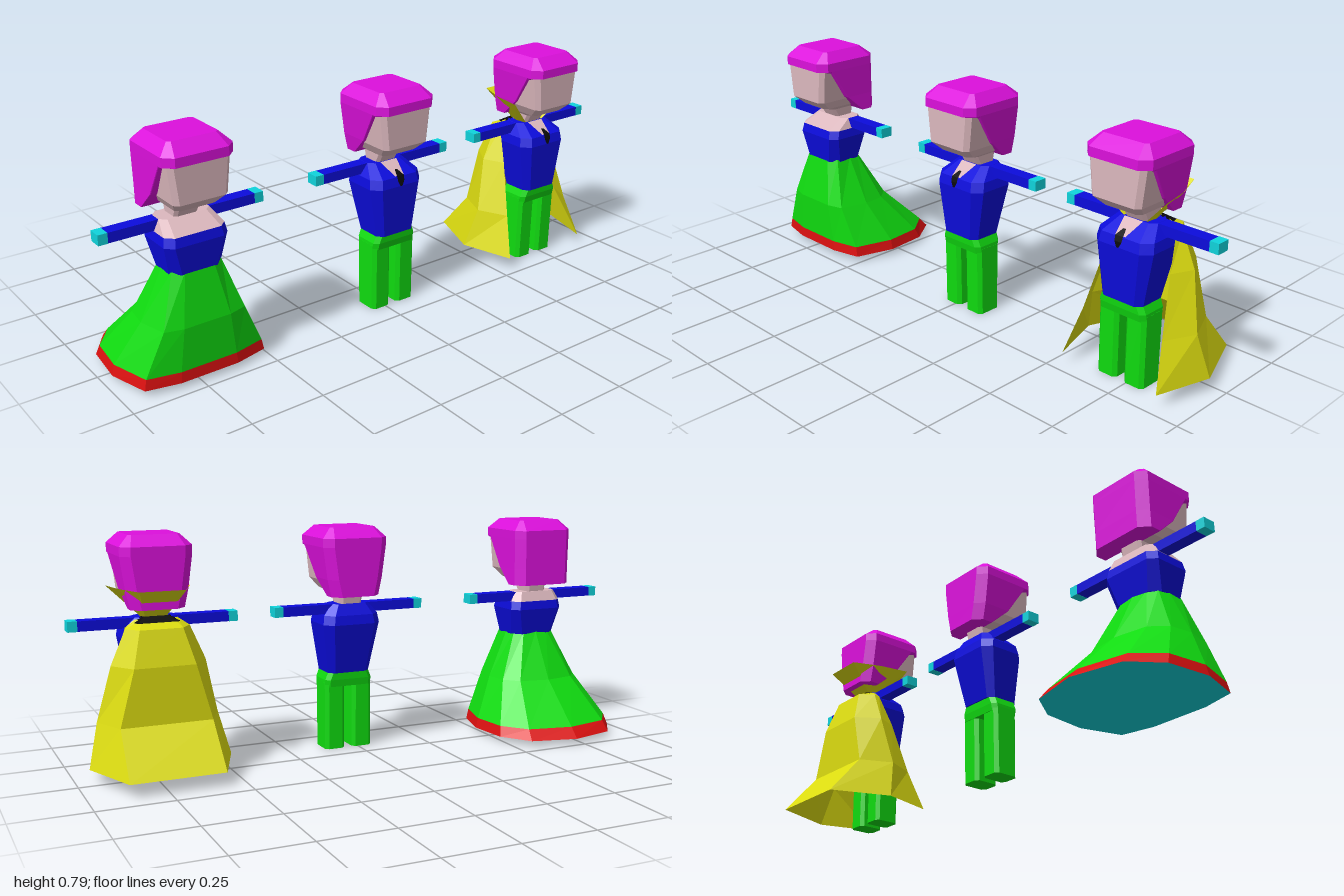
import * as THREE from 'three';

const mat = (name, color, side = THREE.FrontSide) => {
  const m = new THREE.MeshStandardMaterial({ color, flatShading: true, side });
  m.name = name;
  return m;
};

// Mirror a half outline [x, z] (front to back) into a full ring at height y
function mirrorRing(y, half) {
  const right = half.map(([x, z]) => [x, y, z]);
  const left = half.filter(([x]) => x > 0).reverse().map(([x, z]) => [-x, y, z]);
  return right.concat(left);
}

// Rectangular ring with cut corners (front cut cf, back cut cb)
const boxRing = (y, w, zf, zb, cf = 0.02, cb = cf) =>
  mirrorRing(y, [[w - cf, zf], [w, zf - cf], [w, zb + cb], [w - cb, zb]]);

// Skin between rings from bottom to top; closed lofts may have caps
function loft(rings, { closed = true, bottom = true, top = true } = {}) {
  const pos = [];
  const tri = (a, b, c) => pos.push(...a, ...b, ...c);
  const n = rings[0].length;
  for (let i = 0; i < rings.length - 1; i++) {
    for (let j = 0; j < (closed ? n : n - 1); j++) {
      const k = (j + 1) % n;
      tri(rings[i][j], rings[i][k], rings[i + 1][k]);
      tri(rings[i][j], rings[i + 1][k], rings[i + 1][j]);
    }
  }
  if (closed) {
    const lo = rings[0], hi = rings[rings.length - 1];
    for (let j = 1; j < n - 1; j++) {
      if (bottom) tri(lo[0], lo[j + 1], lo[j]);
      if (top) tri(hi[0], hi[j], hi[j + 1]);
    }
  }
  const g = new THREE.BufferGeometry();
  g.setAttribute('position', new THREE.Float32BufferAttribute(pos, 3));
  g.computeVertexNormals();
  return g;
}

export function createModel() {
  const M = {
    hair: mat('magenta hair', 0xdc10dc),
    skin: mat('skin', 0xdcb8be),
    blue: mat('blue cloth', 0x0c0cdc),
    green: mat('green cloth', 0x10dc10),
    red: mat('red trim', 0xdc1010),
    cyan: mat('cyan', 0x10d4dc),
    yellow: mat('yellow cape', 0xdcdc10, THREE.DoubleSide),
    black: mat('black', 0x0a0a0a, THREE.DoubleSide),
    shirt: mat('shirt skin', 0xdcb8be, THREE.DoubleSide),
  };
  const add = (parent, name, geometry, material, x = 0, y = 0, z = 0) => {
    const mesh = new THREE.Mesh(geometry, material);
    mesh.name = name;
    mesh.position.set(x, y, z);
    parent.add(mesh);
  };

  // Head, hair, arms and hands shared by all figures
  function figure(name, x, hairBottom) {
    const g = new THREE.Group();
    g.name = name;
    g.position.x = x;
    add(g, 'head', loft([
      boxRing(0.515, 0.04, 0.12, 0.05, 0.01),
      boxRing(0.55, 0.042, 0.14, 0.045, 0.01),
      boxRing(0.568, 0.07, 0.195, 0.03, 0.015),
      boxRing(0.6, 0.09, 0.23, 0.02, 0.015),
      boxRing(0.73, 0.104, 0.23, 0.02, 0.015),
    ]), M.skin);
    add(g, 'hairCap', loft([
      boxRing(0.71, 0.112, 0.2, 0, 0.02, 0.03),
      boxRing(0.72, 0.117, 0.24, -0.01, 0.03),
      boxRing(0.75, 0.117, 0.24, -0.01, 0.03),
      boxRing(0.785, 0.083, 0.195, 0.033, 0.01),
    ]), M.hair);
    add(g, 'backHair', loft([
      boxRing(0.55, hairBottom, 0.06, -0.01, 0.002, 0.03),
      boxRing(0.61, (hairBottom + 0.115) / 2, 0.125, -0.01, 0.002, 0.03),
      boxRing(0.72, 0.117, 0.195, -0.01, 0.002, 0.03),
    ]), M.hair);
    for (const s of [-1, 1]) {
      add(g, 'arm', new THREE.BoxGeometry(0.19, 0.033, 0.045), M.blue, s * 0.152, 0.503, 0.083);
      add(g, 'hand', new THREE.BoxGeometry(0.031, 0.034, 0.046), M.cyan, s * 0.2625, 0.503, 0.083);
    }
    return g;
  }

  // Figure in a gown
  function gownFigure(x) {
    const g = figure('gownFigure', x, 0.115);
    const hem = [[0.1, 0.215], [0.21, 0.19], [0.25, 0.05], [0.235, -0.1], [0.165, -0.2], [0, -0.24]];
    const hemTop = mirrorRing(0.056, hem.map(([a, z]) => [a * 0.965, z * (z < 0 ? 0.85 : 0.99)]));
    const hemLow = mirrorRing(0.02, hem);
    add(g, 'skirt', loft([
      hemTop,
      mirrorRing(0.2, [[0.08, 0.217], [0.14, 0.2], [0.165, 0.1], [0.155, 0.02], [0.11, -0.03], [0, -0.05]]),
      mirrorRing(0.368, [[0.05, 0.185], [0.085, 0.165], [0.088, 0.11], [0.08, 0.07], [0.05, 0.05], [0, 0.045]]),
    ], { bottom: false }), M.green);
    add(g, 'hemBand', loft([hemLow, hemTop], { bottom: false, top: false }), M.red);
    add(g, 'skirtUnderside', loft([hemLow, hemLow], { top: false }), M.cyan);
    const neckline = boxRing(0.485, 0.102, 0.19, 0.03, 0.025);
    add(g, 'bodice', loft([
      boxRing(0.36, 0.089, 0.186, 0.045, 0.03),
      boxRing(0.455, 0.107, 0.197, 0.025, 0.025),
      neckline,
    ], { top: false }), M.blue);
    add(g, 'shoulders', loft([neckline, boxRing(0.52, 0.085, 0.125, 0.045, 0.02)], { bottom: false }), M.skin);
    return g;
  }

  // Figure in a jacket and trousers
  function suitFigure(name, x) {
    const g = figure(name, x, 0.088);
    add(g, 'jacket', loft([
      boxRing(0.275, 0.077, 0.185, 0.06, 0.02),
      boxRing(0.45, 0.105, 0.197, 0.02, 0.03),
      boxRing(0.482, 0.1, 0.19, 0.025, 0.03),
      boxRing(0.52, 0.07, 0.125, 0.045, 0.02),
    ]), M.blue);
    add(g, 'hips', loft([
      boxRing(0.225, 0.088, 0.172, 0.07, 0.015),
      boxRing(0.25, 0.087, 0.178, 0.066, 0.015),
      boxRing(0.28, 0.075, 0.18, 0.065, 0.015),
    ]), M.green);
    for (const s of [-1, 1]) {
      add(g, 'leg', loft([
        boxRing(0, 0.037, 0.167, 0.074, 0.012),
        boxRing(0.24, 0.037, 0.17, 0.072, 0.012),
      ]), M.green, s * 0.051);
    }
    // Open collar and tie, just proud of the jacket front
    add(g, 'shirtFront', loft([
      mirrorRing(0.486, [[0.018, 0.19]]),
      mirrorRing(0.522, [[0.034, 0.13]]),
    ], { closed: false }), M.shirt);
    add(g, 'tie', loft([
      mirrorRing(0.452, [[0.004, 0.202]]),
      mirrorRing(0.47, [[0.013, 0.2]]),
      mirrorRing(0.487, [[0.014, 0.195]]),
      mirrorRing(0.502, [[0.005, 0.17]]),
    ], { closed: false }), M.black);
    return g;
  }

  // Flared cape with a standing collar
  function addCape(g) {
    add(g, 'cape', loft([
      mirrorRing(0.045, [[0.18, 0.222], [0.235, 0.03], [0.155, -0.18]]),
      mirrorRing(0.19, [[0.15, 0.165], [0.2, 0.06], [0.15, -0.057]]),
      mirrorRing(0.375, [[0.122, 0.105], [0.155, 0.03], [0.1, -0.055]]),
      mirrorRing(0.49, [[0.1, 0.055], [0.105, 0.03], [0.07, -0.02]]),
      mirrorRing(0.515, [[0.07, 0.05], [0.065, 0.045], [0.05, 0.035]]),
    ], { closed: false }), M.yellow);
    add(g, 'capeNeckband', loft([
      mirrorRing(0.506, [[0.078, 0.05], [0.068, 0.012]]),
      mirrorRing(0.524, [[0.045, 0.06], [0.04, 0.04]]),
    ], { closed: false }), M.black);
    add(g, 'collar', loft([
      mirrorRing(0.52, [[0.04, 0.125], [0.045, 0.08], [0.035, 0.05]]),
      mirrorRing(0.615, [[0.135, 0.16], [0.115, 0.05], [0.075, -0.055]]),
    ], { closed: false }), M.yellow);
    return g;
  }

  const model = new THREE.Group();
  model.name = 'threeFigures';
  model.add(
    gownFigure(-0.722),
    suitFigure('suitFigure', 0.035),
    addCape(suitFigure('capeFigure', 0.722)),
  );
  return model;
}
